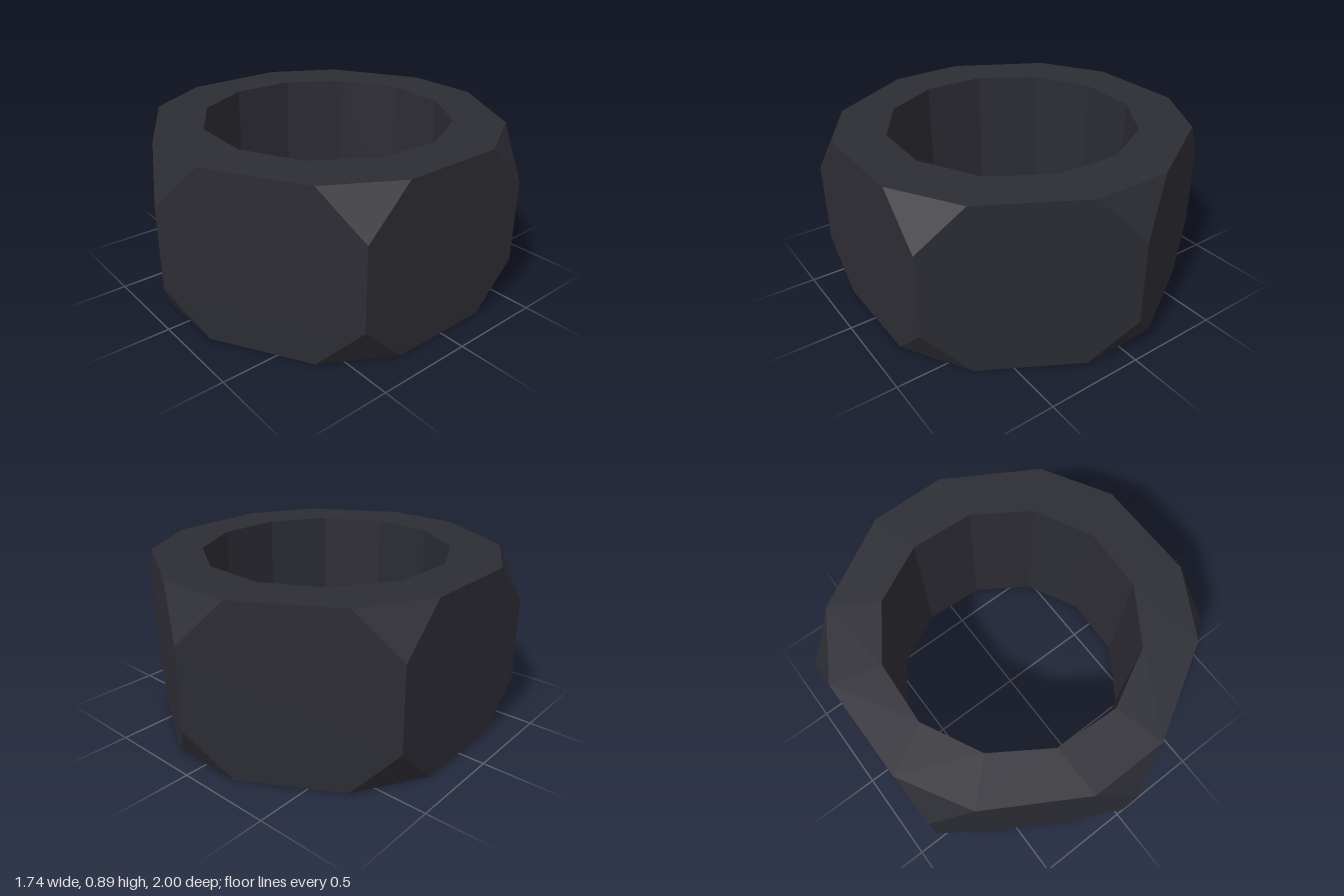
import * as THREE from 'three';

const HALF = 0.443;      // half height of the nut
const CORNER = 0.215;    // half height of the vertical corner edges
const HOLE = 0.645;      // hole radius
const CUT = 0.231;       // share of each side taken by a corner chamfer

const polar = (deg, r, y) => {
  const a = THREE.MathUtils.degToRad(deg);
  return new THREE.Vector3(r * Math.cos(a), y, r * Math.sin(a));
};
const atY = (v, y) => new THREE.Vector3(v.x, y, v.z);

// Flat mesh from convex polygons, each listed counter-clockwise from its front
function facets(name, polygons, material) {
  const points = [];
  for (const p of polygons) {
    for (let i = 1; i < p.length - 1; i++) points.push(p[0], p[i], p[i + 1]);
  }
  const geometry = new THREE.BufferGeometry().setFromPoints(points);
  geometry.computeVertexNormals();
  const mesh = new THREE.Mesh(geometry, material);
  mesh.name = name;
  return mesh;
}

export function createModel() {
  const darkSteel = new THREE.MeshStandardMaterial({ color: 0x2c2c34 });
  darkSteel.name = 'darkSteel';

  // Six corners, the chamfer cuts between them, and the twelve-sided hole
  const corners = [], cuts = [], hole = [];
  for (let k = 0; k < 6; k++) corners.push(polar(30 + 60 * k, 1, 0));
  for (let k = 0; k < 6; k++) {
    const a = corners[k], b = corners[(k + 1) % 6];
    cuts.push(a.clone().lerp(b, CUT), b.clone().lerp(a, CUT));
  }
  for (let i = 0; i < 12; i++) hole.push(polar(48 + 30 * i, HOLE, 0));

  const sides = [], chamfers = [], caps = [], bore = [];
  for (let k = 0; k < 6; k++) {
    const a = corners[k], b = corners[(k + 1) % 6];
    const next = cuts[2 * k], far = cuts[2 * k + 1], prev = cuts[(2 * k + 11) % 12];
    // Eight-sided wrench face
    sides.push([
      atY(a, -CORNER), atY(a, CORNER), atY(next, HALF), atY(far, HALF),
      atY(b, CORNER), atY(b, -CORNER), atY(far, -HALF), atY(next, -HALF),
    ]);
    // Triangular chamfers above and below the corner
    chamfers.push([atY(a, CORNER), atY(prev, HALF), atY(next, HALF)]);
    chamfers.push([atY(a, -CORNER), atY(next, -HALF), atY(prev, -HALF)]);
  }
  for (let i = 0; i < 12; i++) {
    const j = (i + 1) % 12;
    // Top and bottom rings
    const ring = [cuts[j], cuts[i], hole[i], hole[j]];
    caps.push(ring.map((v) => atY(v, HALF)));
    caps.push(ring.map((v) => atY(v, -HALF)).reverse());
    // Inward-facing hole wall
    bore.push([atY(hole[j], -HALF), atY(hole[j], HALF), atY(hole[i], HALF), atY(hole[i], -HALF)]);
  }

  const nut = new THREE.Group();
  nut.name = 'hexNut';
  nut.add(
    facets('wrenchFaces', sides, darkSteel),
    facets('cornerChamfers', chamfers, darkSteel),
    facets('endRings', caps, darkSteel),
    facets('boreWall', bore, darkSteel),
  );
  // Very slight lean to one side
  nut.rotation.z = -0.005;
  nut.position.y = 0.447;

  const model = new THREE.Group();
  model.name = 'model';
  model.add(nut);
  return model;
}
